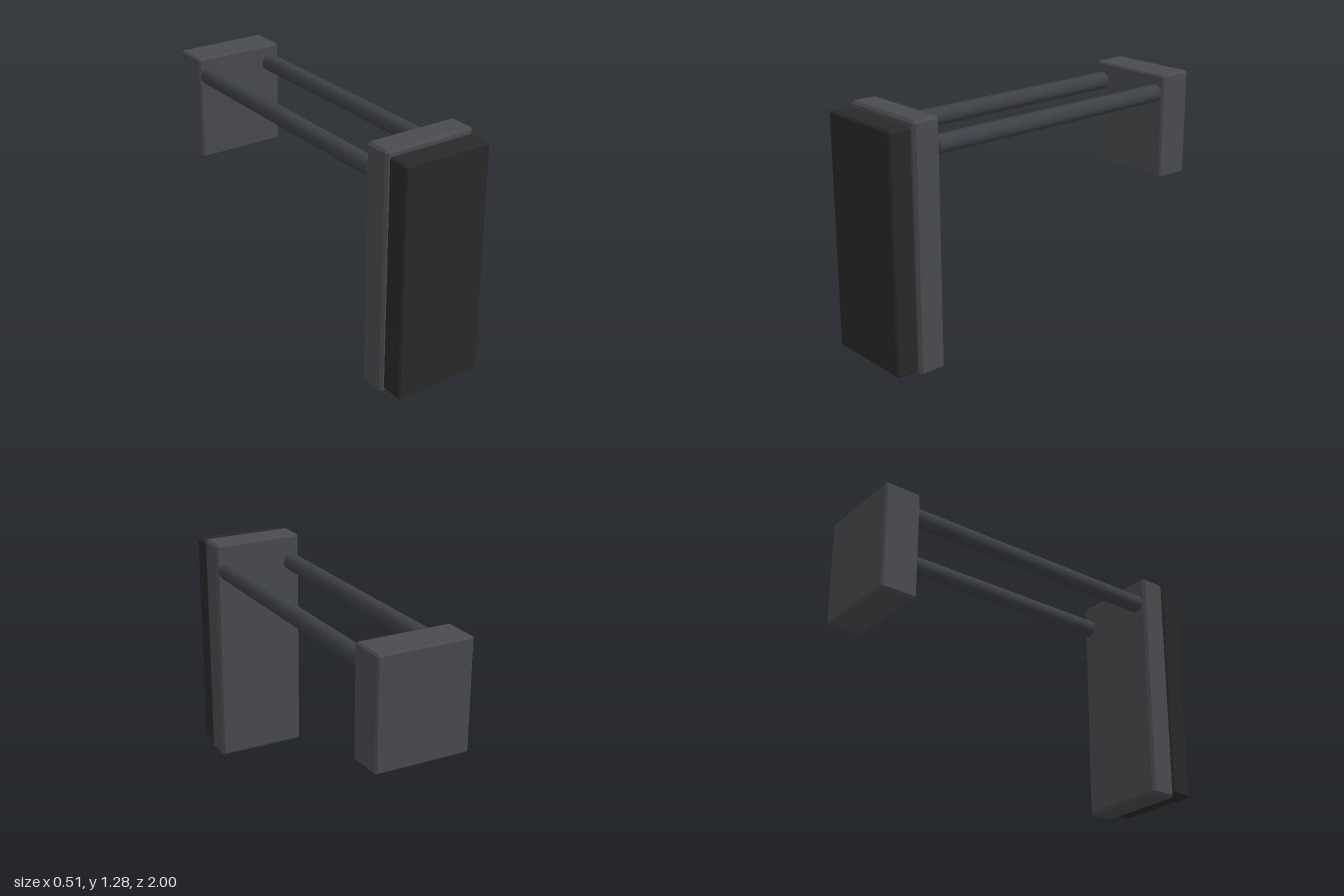
import * as THREE from 'three';
import { ConvexGeometry } from 'three/addons/geometries/ConvexGeometry.js';

const material = (color) => new THREE.MeshStandardMaterial({ color });

// Box with chamfered edges, given by its extents
function chamferBox(name, halfWidth, [y0, y1], [z0, z1], chamfer, mat) {
  const half = [halfWidth, (y1 - y0) / 2, (z1 - z0) / 2];
  const points = [];
  for (const sx of [-1, 1]) for (const sy of [-1, 1]) for (const sz of [-1, 1]) {
    for (let outer = 0; outer < 3; outer++) {
      const p = half.map((h, axis) => (axis === outer ? h : h - chamfer));
      points.push(new THREE.Vector3(p[0] * sx, p[1] * sy, p[2] * sz));
    }
  }
  const mesh = new THREE.Mesh(new ConvexGeometry(points), mat);
  mesh.name = name;
  mesh.position.set(0, (y0 + y1) / 2, (z0 + z1) / 2);
  return mesh;
}

// Round bar along z with chamfered ends
function rod(name, x, y, z0, z1, radius, mat) {
  const h = (z1 - z0) / 2, c = 0.012;
  // Corners are doubled so the chamfers stay crisp
  const profile = [
    [0, -h], [radius - c, -h], [radius - c, -h], [radius, c - h], [radius, c - h],
    [radius, h - c], [radius, h - c], [radius - c, h], [radius - c, h], [0, h],
  ].map(([r, t]) => new THREE.Vector2(r, t));
  const geometry = new THREE.LatheGeometry(profile, 20);
  geometry.rotateX(Math.PI / 2);
  const mesh = new THREE.Mesh(geometry, mat);
  mesh.name = name;
  mesh.position.set(x, y, (z0 + z1) / 2);
  return mesh;
}

export function createModel() {
  const group = new THREE.Group();
  group.name = 'pedalAssembly';
  const plateMat = material(0x4a4b4f);
  const rodMat = material(0x3d4046);
  const padMat = material(0x292929);

  // Front plate with its dark pad, and the rear mounting block
  group.add(chamferBox('frontPad', 0.245, [0.03, 1.26], [0.874, 1], 0.01, padMat));
  group.add(chamferBox('frontPlate', 0.255, [0, 1.285], [0.72, 0.87], 0.014, plateMat));
  group.add(chamferBox('rearBlock', 0.255, [0.65, 1.235], [-1, -0.8], 0.01, plateMat));

  // Two parallel rods joining plate and block
  for (const [side, s] of [['left', 1], ['right', -1]]) {
    group.add(rod(side + 'Rod', s * 0.2, 1.132, -0.82, 0.722, 0.047, rodMat));
  }
  return group;
}
